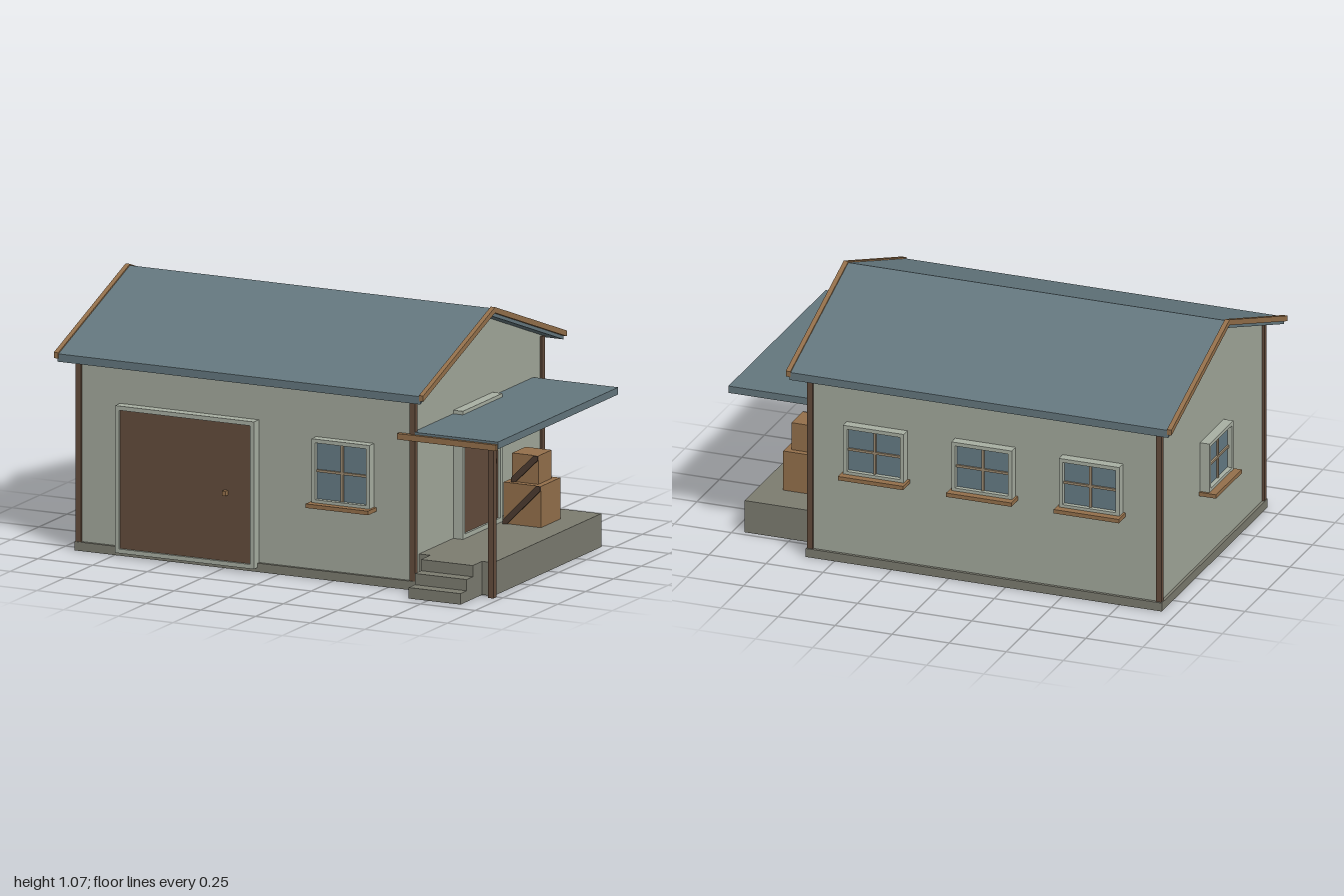
import * as THREE from 'three';

const mat = (name, color, side = THREE.FrontSide) => {
  const m = new THREE.MeshStandardMaterial({ color, side });
  m.name = name;
  return m;
};

export function createModel() {
  const wallPaint = mat('wall plaster', 0xa3a99c);
  const framePaint = mat('pale frame', 0xa9b0a3);
  const concrete = mat('concrete', 0x7c7c70);
  const darkWood = mat('dark wood', 0x634c3c);
  const tanWood = mat('tan wood', 0x94704b);
  const sashPaint = mat('sash beige', 0x9c8a70);
  const roofing = mat('blue roofing', 0x64777e);
  const glass = mat('window glass', 0x667c86);
  const strapWood = mat('crate brace', 0x4c3b30);

  const CZ = -0.037; // centre line of the house
  const house = new THREE.Group();
  house.name = 'house';

  const add = (parent, name, geo, material) => {
    const mesh = new THREE.Mesh(geo, material);
    mesh.name = name;
    parent.add(mesh);
    return mesh;
  };
  // Box given by its minimum and maximum on each axis
  const box = (parent, name, material, x0, x1, y0, y1, z0, z1) => {
    const mesh = add(parent, name, new THREE.BoxGeometry(x1 - x0, y1 - y0, z1 - z0), material);
    mesh.position.set((x0 + x1) / 2, (y0 + y1) / 2, (z0 + z1) / 2);
    return mesh;
  };
  // Gable outline swept along x
  const sweep = (name, material, points, x0, x1) => {
    const shape = new THREE.Shape(points.map(([a, b]) => new THREE.Vector2(a, b)));
    const geo = new THREE.ExtrudeGeometry(shape, { depth: x1 - x0, bevelEnabled: false });
    geo.rotateY(Math.PI / 2);
    add(house, name, geo, material).position.set(x0, 0, CZ);
  };
  const chevron = (name, material, ridge, thick, half, x0, x1) => {
    const eave = ridge - 0.365 * half;
    sweep(name, material, [
      [-half, eave - thick], [0, ridge - thick], [half, eave - thick],
      [half, eave], [0, ridge], [-half, eave],
    ], x0, x1);
  };
  // Rectangular frame facing +z, bottom centre at the origin
  const frame = (parent, name, w, h, border, depth) => {
    const shape = new THREE.Shape();
    shape.moveTo(-w / 2, 0).lineTo(w / 2, 0).lineTo(w / 2, h).lineTo(-w / 2, h).closePath();
    const hole = new THREE.Path();
    const a = w / 2 - border;
    hole.moveTo(-a, border).lineTo(-a, h - border).lineTo(a, h - border).lineTo(a, border).closePath();
    shape.holes.push(hole);
    add(parent, name, new THREE.ExtrudeGeometry(shape, { depth, bevelEnabled: false }), framePaint);
  };
  const unit = (name, x, y, z, turn) => {
    const g = new THREE.Group();
    g.name = name;
    g.position.set(x, y, z);
    g.rotation.y = turn;
    house.add(g);
    return g;
  };

  const windowUnit = (name, x, y, z, turn, h) => {
    const g = unit(name, x, y, z, turn);
    frame(g, 'windowFrame', 0.265, h, 0.016, 0.042);
    box(g, 'windowPane', glass, -0.12, 0.12, 0.01, h - 0.01, 0, 0.022);
    box(g, 'verticalBar', sashPaint, -0.005, 0.005, 0.016, h - 0.016, 0.02, 0.03);
    box(g, 'horizontalBar', sashPaint, -0.117, 0.117, h / 2 - 0.005, h / 2 + 0.005, 0.02, 0.03);
    box(g, 'windowSill', tanWood, -0.143, 0.143, -0.014, 0.003, 0, 0.075);
  };
  const doorUnit = (name, x, y, z, turn, w, h, border, knobX, knobY) => {
    const g = unit(name, x, y, z, turn);
    frame(g, 'doorFrame', w, h, border, 0.044);
    box(g, 'doorPanel', darkWood, -w / 2 + 0.005, w / 2 - 0.005, 0.005, h - 0.005, 0, 0.034);
    box(g, 'doorKnob', tanWood, knobX - 0.008, knobX + 0.008, knobY - 0.01, knobY + 0.01, 0.03, 0.056);
  };

  // Foundation and walls
  box(house, 'foundation', concrete, -0.935, 0.625, 0, 0.037, -0.625, 0.551);
  sweep('walls', wallPaint, [
    [-0.575, 0.02], [0.575, 0.02], [0.575, 0.825], [0, 1.035], [-0.575, 0.825],
  ], -0.922, 0.612);

  // Corner posts
  for (const x of [-0.931, 0.597])
    for (const z of [-0.619, 0.523])
      box(house, 'cornerPost', darkWood, x, x + 0.024, 0.03, 0.82, z, z + 0.024);

  // Main roof and gable trim
  chevron('mainRoof', roofing, 1.064, 0.033, 0.642, -0.985, 0.675);
  chevron('gableTrimRight', tanWood, 1.07, 0.024, 0.645, -1, -0.98);
  chevron('gableTrimLeft', tanWood, 1.07, 0.024, 0.645, 0.67, 0.69);

  // Doors
  doorUnit('frontDoor', -0.415, 0.018, 0.538, 0, 0.635, 0.617, 0.018, 0.185, 0.305);
  doorUnit('porchDoor', 0.612, 0.14, 0.008, Math.PI / 2, 0.355, 0.537, 0.019, 0.098, 0.27);

  // Windows
  windowUnit('frontWindow', 0.297, 0.323, 0.538, 0, 0.27);
  windowUnit('rightWindow', -0.922, 0.348, CZ, -Math.PI / 2, 0.218);
  for (const x of [-0.628, -0.157, 0.317])
    windowUnit('backWindow', x, 0.403, -0.612, Math.PI, 0.218);

  // Porch
  box(house, 'porchDeck', concrete, 0.61, 0.952, 0, 0.14, -0.476, 0.492);
  [0.686, 0.63, 0.575].forEach((z, i) =>
    box(house, 'porchStep', concrete, 0.663, 0.9, 0, 0.046 + i * 0.047, 0.49, z));
  box(house, 'porchRoof', roofing, 0.61, 1, 0.632, 0.662, -0.534, 0.547);
  box(house, 'porchBeam', tanWood, 0.545, 0.998, 0.627, 0.652, 0.54, 0.561);
  box(house, 'porchPost', darkWood, 0.947, 0.971, 0, 0.634, 0.504, 0.53);

  // Stacked crates with a diagonal brace on the front
  const crate = (x0, x1, y0, y1, z0, z1) => {
    box(house, 'crate', tanWood, x0, x1, y0, y1, z0, z1);
    const w = x1 - x0, h = y1 - y0, t = 0.018;
    const s = new THREE.Shape();
    s.moveTo(0, 0).lineTo(t, 0).lineTo(w, h - t).lineTo(w, h).lineTo(w - t, h).lineTo(0, t).closePath();
    add(house, 'crateBrace', new THREE.ExtrudeGeometry(s, { depth: 0.009, bevelEnabled: false }), strapWood)
      .position.set(x0, y0, z1);
  };
  crate(0.675, 0.846, 0.14, 0.313, -0.316, -0.143);
  crate(0.7, 0.82, 0.313, 0.432, -0.29, -0.17);

  return house;
}
